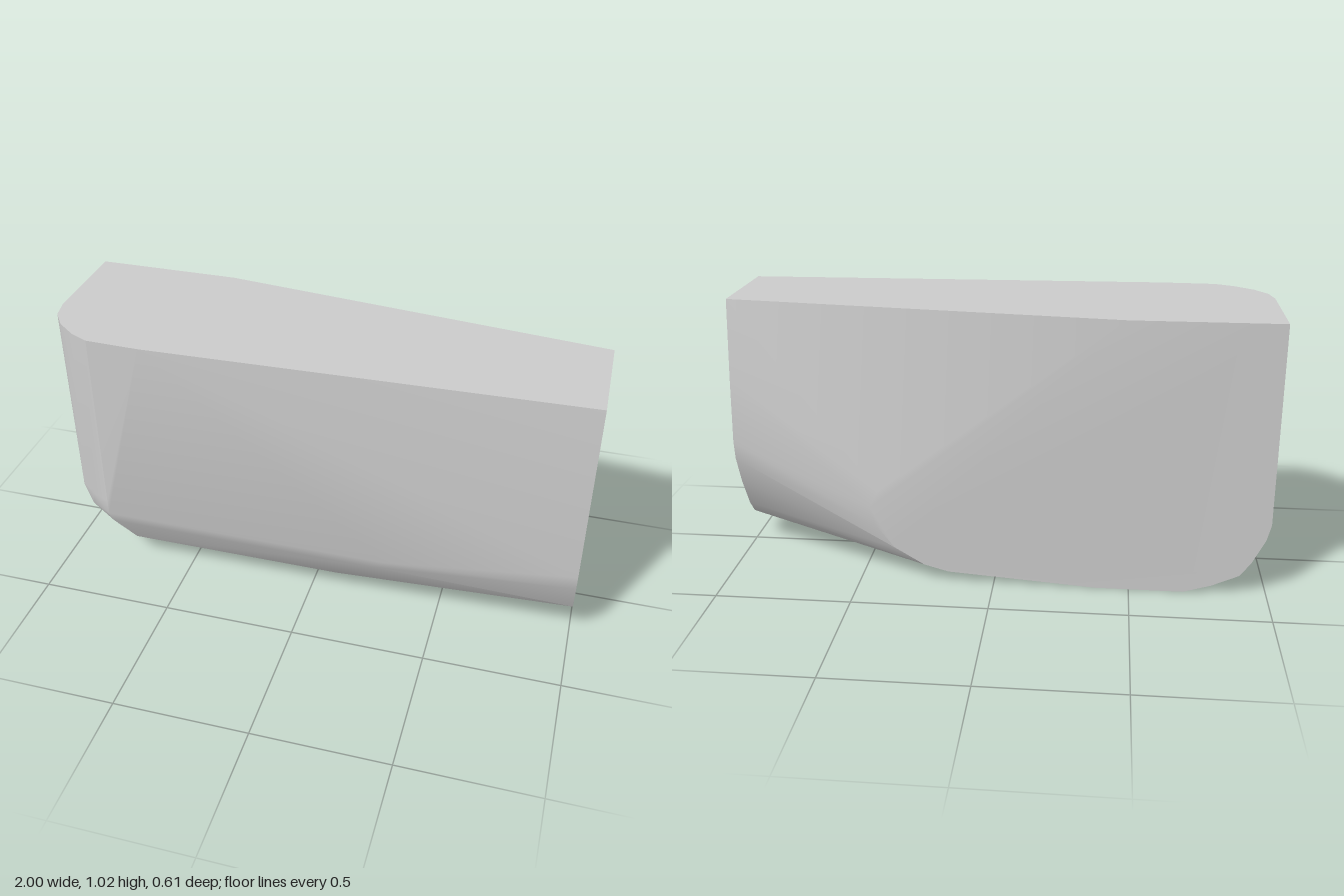
import * as THREE from 'three';
import { ConvexGeometry } from 'three/addons/geometries/ConvexGeometry.js';
import { toCreasedNormals } from 'three/addons/utils/BufferGeometryUtils.js';

const TOP = 1.02, BACK = -0.305, FRONT = 0.305;

export function createModel() {
  const points = [];
  const add = (x, y, z) => points.push(new THREE.Vector3(x, y, z));

  // Narrow end at x = 1, as [z, y]
  [[0.265, TOP], [0.303, 0.34], [0.294, 0.28], [0.24, 0.145], [0.19, 0.1], [0.13, 0.084], [0.1, 0.084],
    [0.04, 0.1], [0, 0.12], [-0.05, 0.175], [-0.12, 0.295], [-0.17, 0.41], [-0.18, 0.48], [-0.162, 0.72],
    [-0.13, TOP]].forEach(([z, y]) => add(1, y, z));

  // Flat back, as [x, y]
  [[-1, TOP], [-0.46, TOP], [0.43, 0.35], [0.46, 0.29], [0.44, 0.22], [0.37, 0.13], [0.26, 0.065], [0.17, 0.04],
    [-0.38, 0], [-0.7, 0], [-0.8, 0.03], [-0.9, 0.075], [-0.94, 0.13], [-0.985, 0.22], [-1, 0.28]]
    .forEach(([x, y]) => add(x, y, BACK));

  // Upright rounded corner: top edge, then the slightly fuller lower ring, as [x, z]
  [[-1, 0.07], [-0.985, 0.145], [-0.94, 0.21], [-0.87, 0.265], [-0.8, 0.298], [-0.6, FRONT]]
    .forEach(([x, z]) => add(x, TOP, z));
  [[-1, 0], [-0.98, 0.13], [-0.935, 0.225], [-0.87, 0.272], [-0.8, FRONT]]
    .forEach(([x, z]) => add(x, 0.31, z));

  // Bottom front rounding, a profile run along x, as [z, y, xStart, xEnd]
  [[0, 0, -0.7, -0.38], [0.06, 0.012, -0.7, -0.2], [0.17, 0.05, -0.72, -0.05], [0.23, 0.09, -0.73, 0.1],
    [0.29, 0.205, -0.79, 0.25], [FRONT, 0.25, -0.8, 0.3]]
    .forEach(([z, y, x0, x1]) => { add(x0, y, z); add(x1, y, z); });

  // Crease where the underside starts to rise
  add(0.55, 0.045, 0.04);

  // Blend between the end and bottom roundings
  [[-0.985, 0.22, 0], [-0.94, 0.13, 0], [-0.9, 0.075, 0], [-0.8, 0.03, 0],
    [-0.95, 0.22, 0.16], [-0.9, 0.14, 0.14], [-0.82, 0.07, 0.13], [-0.9, 0.23, 0.235], [-0.83, 0.15, 0.22]]
    .forEach((p) => add(...p));

  const geometry = toCreasedNormals(new ConvexGeometry(points), 0.4);
  const body = new THREE.Mesh(geometry, new THREE.MeshStandardMaterial({ color: 0xcccccc }));
  body.name = 'taperedBody';

  const group = new THREE.Group();
  group.name = 'taperedBlock';
  group.add(body);
  return group;
}
